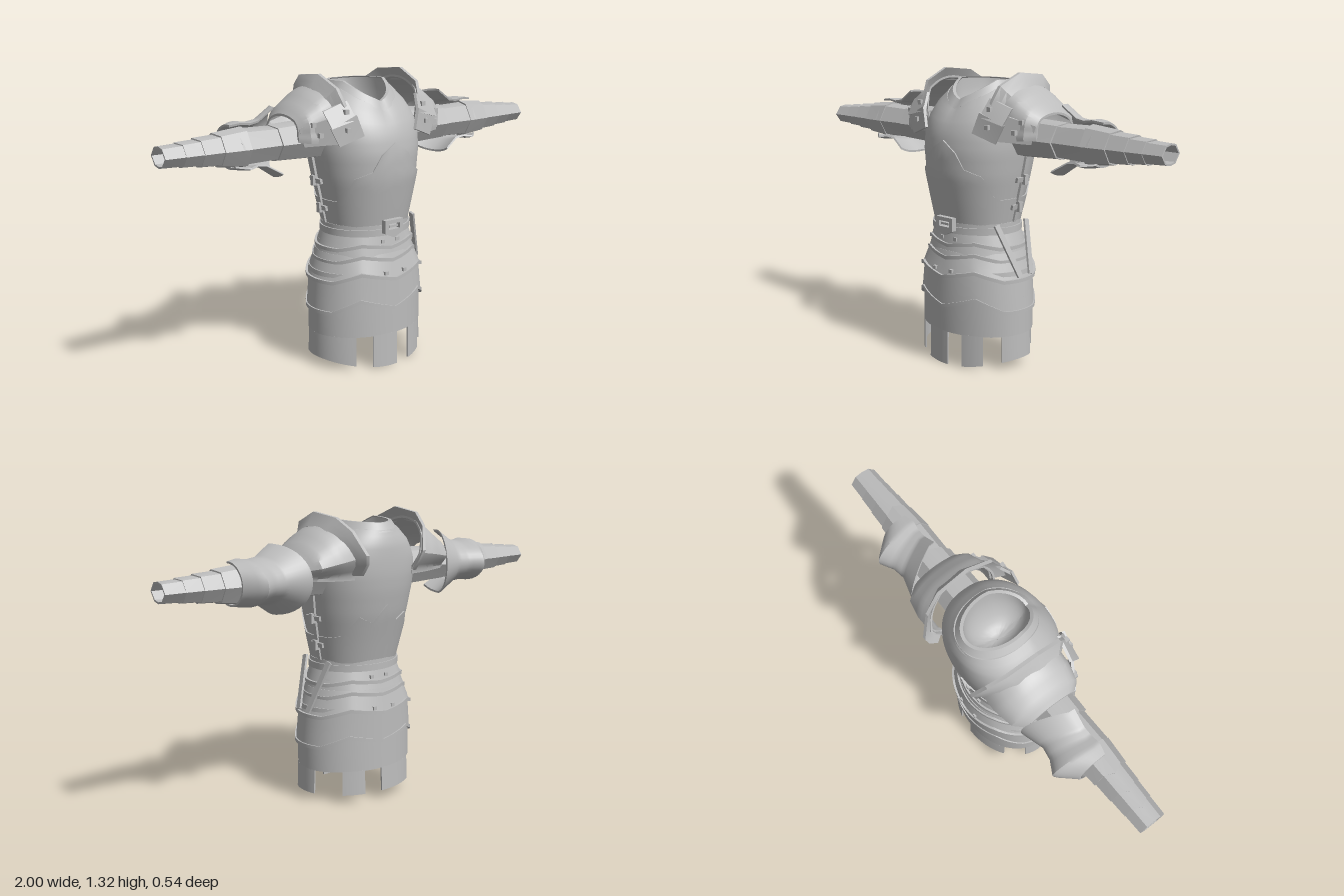
import * as THREE from 'three';
import { toCreasedNormals } from 'three/addons/utils/BufferGeometryUtils.js';

const steel = new THREE.MeshStandardMaterial({ color: 0xbcbcbc, side: THREE.DoubleSide });
steel.name = 'steel';

const V = (x, y, z) => new THREE.Vector3(x, y, z);
const lerp = THREE.MathUtils.lerp;
const rad = THREE.MathUtils.degToRad;
const fold = (a) => { const d = Math.abs(a) % 360; return d > 180 ? 360 - d : d; };

// Linear interpolation in rows keyed by their first value
function pw(rows, x) {
  let i = 0;
  while (i < rows.length - 2 && x > rows[i + 1][0]) i++;
  const p = rows[i], q = rows[i + 1];
  const t = THREE.MathUtils.clamp((x - p[0]) / (q[0] - p[0]), 0, 1);
  return p.map((v, k) => lerp(v, q[k], t));
}

// Plate of given thickness over surf(a, v, offset)
function shell(name, surf, a0, a1, n, m, th, loop = false) {
  const pos = [], idx = [], w = 2 * (m + 1);
  const count = loop ? n : n + 1;
  for (let i = 0; i < count; i++) {
    const a = lerp(a0, a1, i / n);
    for (let j = 0; j <= m; j++) pos.push(...surf(a, j / m, th).toArray());
    for (let j = m; j >= 0; j--) pos.push(...surf(a, j / m, 0).toArray());
  }
  for (let i = 0; i < n; i++) {
    const p = i * w, q = ((i + 1) % count) * w;
    for (let j = 0; j < w; j++) {
      const k = (j + 1) % w;
      idx.push(p + j, q + j, q + k, p + j, q + k, p + k);
    }
  }
  if (!loop) {
    const e = n * w;
    for (let j = 0; j < m; j++) {
      const k = w - 1 - j;
      idx.push(j, j + 1, k - 1, j, k - 1, k, e + j, e + k - 1, e + j + 1, e + j, e + k, e + k - 1);
    }
  }
  // Turn the faces outward if the enclosed volume is negative
  let vol = 0;
  const at = (i) => V(pos[3 * i], pos[3 * i + 1], pos[3 * i + 2]);
  for (let i = 0; i < idx.length; i += 3) vol += at(idx[i]).dot(at(idx[i + 1]).cross(at(idx[i + 2])));
  if (vol < 0) idx.reverse();
  const g = new THREE.BufferGeometry();
  g.setAttribute('position', new THREE.Float32BufferAttribute(pos, 3));
  g.setIndex(idx);
  const mesh = new THREE.Mesh(toCreasedNormals(g, 0.5), steel);
  mesh.name = name;
  return mesh;
}

function box(name, w, h, d, x, y, z) {
  const mesh = new THREE.Mesh(new THREE.BoxGeometry(w, h, d), steel);
  mesh.name = name;
  mesh.position.set(x, y, z);
  return mesh;
}

// Body cross-section: half width, front z, back z
function ring(a, hw, zf, zb, y, off = 0, p = 1) {
  const s = Math.sin(rad(a)), c = Math.cos(rad(a));
  const e = (v) => Math.sign(v) * Math.abs(v) ** p;
  return V((hw + off) * e(s), y, (zf + zb) / 2 + ((zf - zb) / 2 + off) * e(c));
}

const NECK = [[0, 1.2], [35, 1.235], [75, 1.285], [180, 1.275]];
const neckY = (a) => pw(NECK, fold(a))[1];

// y, half width, front, back, share of neckline shape
const TORSO = [[0.64, 0.188, 0.202, -0.128, 0], [0.75, 0.21, 0.224, -0.158, 0], [0.87, 0.234, 0.247, -0.192, 0],
  [0.98, 0.25, 0.25, -0.213, 0], [1.05, 0.255, 0.238, -0.22, 0], [1.12, 0.245, 0.22, -0.22, 0.3],
  [1.19, 0.205, 0.195, -0.215, 0.7], [1.25, 0.14, 0.165, -0.192, 1]];
function torso(a, y, off) {
  const [yy, hw, zf, zb, k] = pw(TORSO, y);
  return ring(a, hw, zf, zb, yy + k * (neckY(a) - 1.28), off, 0.93);
}

const PLACKART = [[0, 1.03], [15, 0.98], [25, 0.91], [45, 0.88], [60, 0.79], [70, 0.77], [115, 0.77],
  [130, 0.78], [150, 0.87], [165, 0.84], [180, 0.92]];
const WAVE = [[0, -0.25], [35, 1], [65, -0.5], [115, -0.5], [145, 0.8], [180, 0]];

function buildBody(root) {
  root.add(shell('cuirass', (a, v, o) => torso(a, lerp(0.64, 1.25, v), o), 0, 360, 72, 22, 0.006, true));
  root.add(shell('lowerBreastplate', (a, v, o) =>
    torso(a, lerp(0.645, pw(PLACKART, fold(a))[1], v), o + 0.004), 0, 360, 72, 10, 0.009, true));
  root.add(shell('collar', (a, v, o) => ring(a, lerp(0.138, 0.108, v), lerp(0.166, 0.138, v),
    lerp(-0.19, -0.163, v), neckY(a) - 0.04 * (1 - v), o), 0, 360, 48, 2, 0.014, true));
  // Rounded lining that closes the neck opening
  root.add(shell('neckLining', (a, v, o) => {
    const s = Math.cos(v * 1.56);
    return ring(a, 0.11 * s, -0.013 + 0.153 * s, -0.013 - 0.152 * s, lerp(neckY(a) - 0.005, 1.06, Math.sin(v * 1.56)) - o);
  }, 0, 360, 48, 8, 0.004, true));

  // Side seams with hinges
  for (const s of [-1, 1]) {
    root.add(shell('sideSeam', (a, v, o) => torso(s * a, lerp(0.66, 0.96, v), o + 0.01), 93, 98, 2, 6, 0.012));
    for (const y of [0.73, 0.855]) {
      root.add(shell('hingeLeaf', (a, v, o) => torso(s * a, y + lerp(-0.011, 0.011, v), o + 0.012), 86, 105, 4, 1, 0.014));
      const p = torso(s * 95.5, y, 0.028);
      root.add(box('hingePin', 0.02, 0.045, 0.022, p.x, p.y, p.z));
    }
  }
}

function buildSkirt(root) {
  // Overlapping plates: top y, bottom y, top section, bottom section, edge wave
  const tiers = [
    [0.615, 0.55, [0.202, 0.21, -0.138], [0.228, 0.222, -0.153], 0.015],
    [0.575, 0.495, [0.216, 0.216, -0.148], [0.238, 0.232, -0.168], 0.02],
    [0.53, 0.415, [0.228, 0.226, -0.163], [0.274, 0.26, -0.19], 0.028],
    [0.45, 0.28, [0.262, 0.248, -0.18], [0.281, 0.255, -0.18], 0.04]];
  for (const [y0, y1, t, b, amp] of tiers) {
    const edge = (a) => y1 + amp * pw(WAVE, fold(a))[1];
    const at = (a, v, o) => ring(a, ...t.map((c, i) => lerp(c, b[i], v)), lerp(y0, edge(a), v), o);
    root.add(shell('skirtPlate', at, 0, 360, 72, 3, 0.008, true));
    // Raised lower rim
    root.add(shell('skirtPlateRim', (a, v, o) => at(a, 1, o).setY(edge(a) + 0.016 * (1 - v)), 0, 360, 72, 1, 0.013, true));
  }
  for (const y of [0.585, 0.448]) {
    for (const a of [-11, 11, 169, 191]) {
      const p = y > 0.5 ? ring(a, 0.215, 0.222, -0.153, y) : ring(a, 0.27, 0.262, -0.19, y);
      root.add(box('skirtRivet', 0.018, 0.016, 0.016, p.x, p.y, p.z));
    }
  }
  // Lower skirt cut into tabs
  const low = (a, y, o) => ring(a, 0.274, 0.245, -0.174, y, o);
  root.add(shell('lowerSkirt', (a, v, o) => low(a, lerp(0.33, 0.155, v), o), 0, 360, 72, 2, 0.008, true));
  const notches = [[-39, -22], [4, 20], [42, 62], [106, 138], [161, 179], [224, 250], [321, 338]];
  for (let i = 0; i < notches.length - 1; i++) {
    root.add(shell('skirtTab', (a, v, o) => {
      const bottom = 0.045 - 0.044 * Math.max(0, Math.cos(rad(a))) ** 2;
      return low(a, lerp(0.157, bottom, v), o + 0.004 * v);
    }, notches[i][1], notches[i + 1][0], 12, 2, 0.008));
  }

  // Belts, buckle and hanging straps
  root.add(shell('belt', (a, v, o) => ring(a, 0.203, 0.217, -0.14, lerp(0.612, 0.642, v), o), 0, 360, 60, 1, 0.013, true));
  root.add(shell('upperBelt', (a, v, o) => ring(a, 0.196, 0.21, -0.135, lerp(0.642, 0.66, v), o), 0, 360, 60, 1, 0.013, true));
  const shape = (C, pts) => new C(pts.map((p) => new THREE.Vector2(...p)));
  const frame = shape(THREE.Shape, [[-0.05, 0.685], [0.05, 0.685], [0.05, 0.625], [0, 0.603], [-0.05, 0.625]]);
  frame.holes.push(shape(THREE.Path, [[-0.032, 0.668], [-0.032, 0.642], [0.032, 0.642], [0.032, 0.668]]));
  const buckle = new THREE.Mesh(new THREE.ExtrudeGeometry(frame, { depth: 0.025, bevelEnabled: false }), steel);
  buckle.name = 'buckle';
  buckle.position.z = 0.226;
  root.add(buckle, box('bucklePin', 0.05, 0.01, 0.02, 0, 0.655, 0.236));
  for (const [p, q] of [[V(0.2, 0.66, 0.13), V(0.285, 0.43, 0.065)], [V(0.205, 0.66, -0.06), V(0.285, 0.43, -0.005)]]) {
    const strap = new THREE.Mesh(new THREE.BoxGeometry(0.028, 0.01, p.distanceTo(q)), steel);
    strap.name = 'hangingStrap';
    strap.position.copy(p).lerp(q, 0.5).add(V(0.006, 0, 0));
    strap.up.set(1, 0, 0);
    strap.lookAt(q.clone().add(V(0.006, 0, 0)));
    root.add(strap);
  }
}

// Shoulder flange: angle from the front over the top, radius, x
const FLANGE = [[-5, 0.2, 0.19], [17, 0.21, 0.19], [36, 0.236, 0.2], [54, 0.26, 0.215], [83, 0.264, 0.222],
  [116, 0.274, 0.215], [136, 0.278, 0.19], [160, 0.268, 0.15], [168, 0.245, 0.14], [180, 0.2, 0.14]];
const DOME = [[0, 1, 1], [0.4, 0.82, 1], [0.8, 0.58, 0.9], [1, 0.42, 0.65]];
const OCTAGON = [[0, 1], [0.85, 0.55], [1, 0], [0.85, -0.55], [0, -1], [-0.85, -0.55], [-1, 0], [-0.85, 0.55]];

function buildArm() {
  const arm = new THREE.Group();
  const polar = (x, ry, rz, deg) => V(x, 1.06 + ry * Math.sin(rad(deg)), -0.02 + rz * Math.cos(rad(deg)));
  arm.add(shell('shoulderDome', (a, v, o) => {
    const [, r, x] = pw(FLANGE, a), [, ky, kz] = pw(DOME, v);
    const base = Math.max(r - 0.055, 0.155);
    return polar(lerp(x + 0.02, 0.395, v), base * ky + o, base * kz + o, a);
  }, -8, 188, 28, 10, 0.01));
  // Faceted upright lip, leaning toward the neck
  arm.add(shell('shoulderFlange', (i, v, o) => {
    const [a, r, x] = FLANGE[Math.round(i)], rr = lerp(Math.max(r - 0.06, 0.15), r, v);
    return polar(x + 0.035 * (1 - v) + o, rr, rr, a);
  }, 1, 9, 8, 2, 0.016));

  // Riveted plates at the front of the shoulder
  const plates = [
    [V(0.19, 1.22, 0.15), V(0.17, 1.14, 0.195), V(0.29, 1.11, 0.18), V(0.3, 1.18, 0.13)],
    [V(0.17, 1.16, 0.195), V(0.14, 1.07, 0.21), V(0.25, 1.03, 0.18), V(0.29, 1.11, 0.17)],
    [V(0.285, 1.15, 0.15), V(0.25, 1.04, 0.17), V(0.37, 1.03, 0.09), V(0.39, 1.11, 0.08)]];
  for (const [a, b, c, d] of plates) {
    arm.add(shell('shoulderPlate', (u, v, o) => a.clone().lerp(d, u).lerp(b.clone().lerp(c, u), v)
      .add(V(o * 0.4, 0, o)), 0, 1, 1, 1, 0.012));
  }
  for (const p of [[0.215, 1.175, 0.18], [0.345, 1.125, 0.122], [0.22, 1.1, 0.2], [0.32, 1.08, 0.14]]) {
    arm.add(box('shoulderRivet', 0.02, 0.02, 0.025, ...p));
  }

  // Arm tubes and overlapping forearm lames: x, height radius, depth radius at each end
  const tubes = [[0.22, 0.09, 0.1, 0.47, 0.08, 0.095], [0.44, 0.075, 0.085, 0.66, 0.08, 0.088],
    [0.62, 0.086, 0.09, 0.74, 0.073, 0.082], [0.73, 0.067, 0.077, 0.83, 0.062, 0.074],
    [0.82, 0.057, 0.071, 0.91, 0.053, 0.068], [0.9, 0.049, 0.066, 1, 0.045, 0.063]];
  for (const [x0, y0, z0, x1, y1, z1] of tubes) {
    arm.add(shell(x0 < 0.6 ? 'armTube' : 'forearmLame', (a, v, o) => {
      const i = Math.round(a) % 8, [cy, cz] = OCTAGON[i];
      const chevron = i === 2 && v === 1 && x1 < 1 ? 0.02 : 0;
      return V(lerp(x0, x1, v) + chevron, 1.046 + cy * (lerp(y0, y1, v) - 0.008 + o),
        -0.005 + cz * (lerp(z0, z1, v) - 0.008 + o));
    }, 0, 8, 8, 1, 0.008, true));
  }

  // Elbow guard, open toward the front, with a slanted flared inner edge
  const GUARD = [[0, 0.143, 0.165], [0.35, 0.092, 0.135], [0.55, 0.085, 0.145], [0.76, 0.092, 0.18], [1, 0.085, 0.1]];
  arm.add(shell('elbowGuard', (a, v, o) => {
    const [, ry, rz] = pw(GUARD, v), s = Math.sin(rad(a));
    return V(lerp(0.38 + 0.09 * (1 - Math.max(0, s)), 0.68, v), 1.05 + (ry + o) * Math.cos(rad(a)), -0.01 - (rz + o) * s);
  }, -8, 212, 24, 20, 0.009));
  return arm;
}

export function createModel() {
  const root = new THREE.Group();
  root.name = 'plateArmor';
  buildBody(root);
  buildSkirt(root);
  for (const s of [1, -1]) {
    const arm = buildArm();
    arm.name = s > 0 ? 'leftArm' : 'rightArm';
    arm.scale.x = s;
    root.add(arm);
  }
  return root;
}
